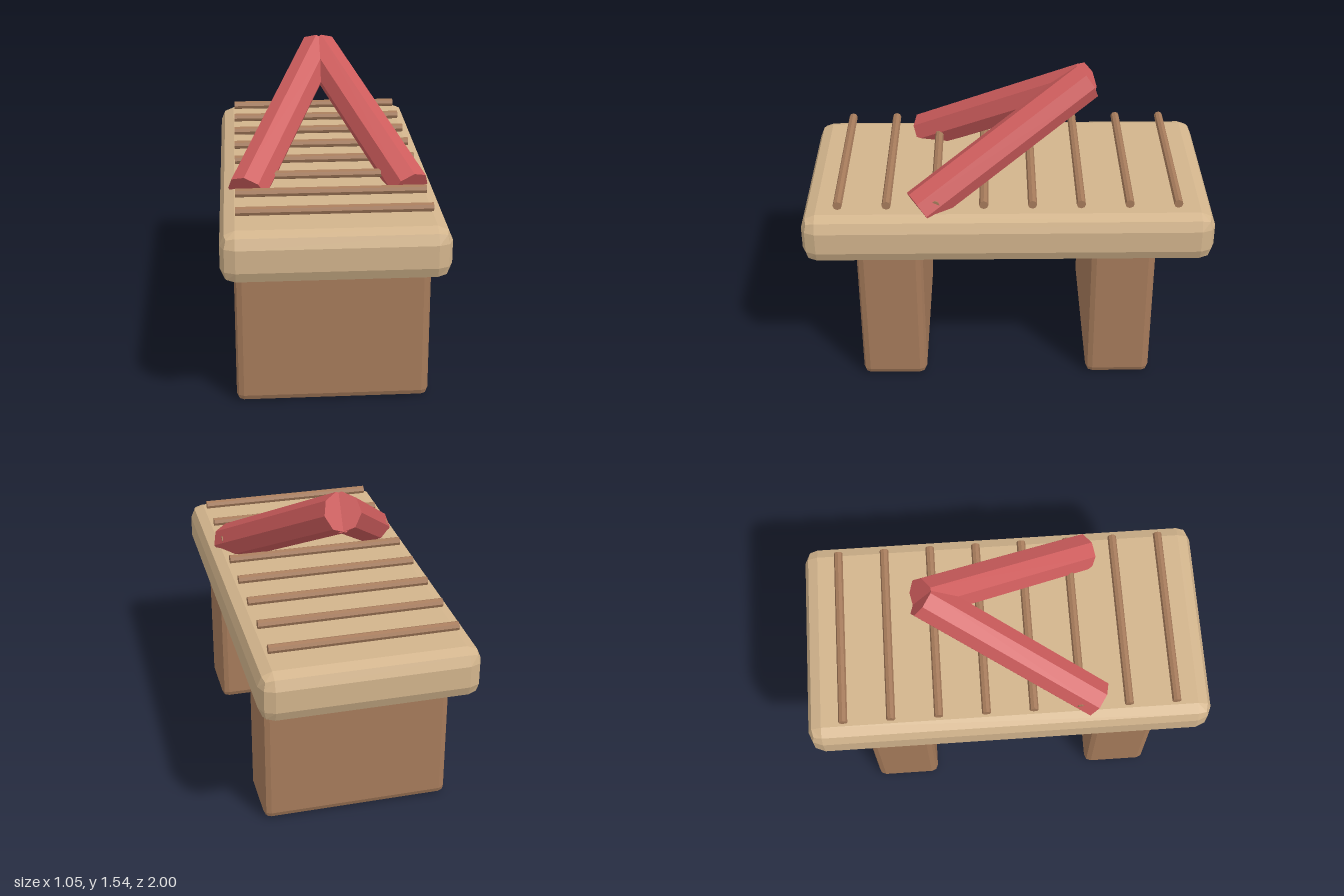
import * as THREE from 'three';
import { RoundedBoxGeometry } from 'three/addons/geometries/RoundedBoxGeometry.js';

const material = (name, color) => {
  const m = new THREE.MeshStandardMaterial({ color });
  m.name = name;
  return m;
};

// Gives every facet its own flat normal
function faceted(geometry) {
  const g = geometry.index ? geometry.toNonIndexed() : geometry;
  g.computeVertexNormals();
  return g;
}

export function createModel() {
  const group = new THREE.Group();
  const tan = material('tan', 0xd2b48c);
  const brown = material('brown', 0xa67b5b);
  const red = material('red', 0xcd5c5c);

  const add = (name, geometry, mat, x, y, z) => {
    const mesh = new THREE.Mesh(faceted(geometry), mat);
    mesh.name = name;
    mesh.position.set(x, y, z);
    group.add(mesh);
    return mesh;
  };

  // Thick slab with two-facet rounded edges
  add('tableTop', new RoundedBoxGeometry(1.05, 0.25, 2, 1, 0.07), tan, 0, 0.85, 0);

  // Two broad block legs
  add('frontLeg', new RoundedBoxGeometry(0.93, 0.78, 0.325, 1, 0.035), brown, 0, 0.39, 0.583);
  add('backLeg', new RoundedBoxGeometry(0.93, 0.78, 0.325, 1, 0.035), brown, 0, 0.39, -0.562);

  // Row of eight thin rods floating just above the slab
  for (let i = 0; i < 8; i++) {
    const rod = new THREE.CylinderGeometry(0.022, 0.022, 0.9, 8).rotateZ(Math.PI / 2);
    add('rod' + (i + 1), rod, brown, 0, 1.022, 0.818 - i * 0.2335);
  }

  // Leaning pair of octagonal beams that meet at the apex
  for (const side of [-1, 1]) {
    const base = new THREE.Vector3(side * 0.394, 0.97, 0.432);
    const apex = new THREE.Vector3(0, 1.455, -0.385);
    const along = apex.clone().sub(base);
    const length = along.length();
    along.normalize();
    const outward = new THREE.Vector3(0, 0, side).cross(along).negate().normalize();
    if (outward.x * side < 0) outward.negate();
    const across = outward.clone().cross(along);

    const geometry = new THREE.CylinderGeometry(0.098, 0.098, length, 8).rotateY(-side * 0.06);
    const centre = base.add(apex).multiplyScalar(0.5);
    const beam = add(side < 0 ? 'rightBeam' : 'leftBeam', geometry, red, centre.x, centre.y, centre.z);
    beam.quaternion.setFromRotationMatrix(new THREE.Matrix4().makeBasis(outward, along, across));
  }
  return group;
}
